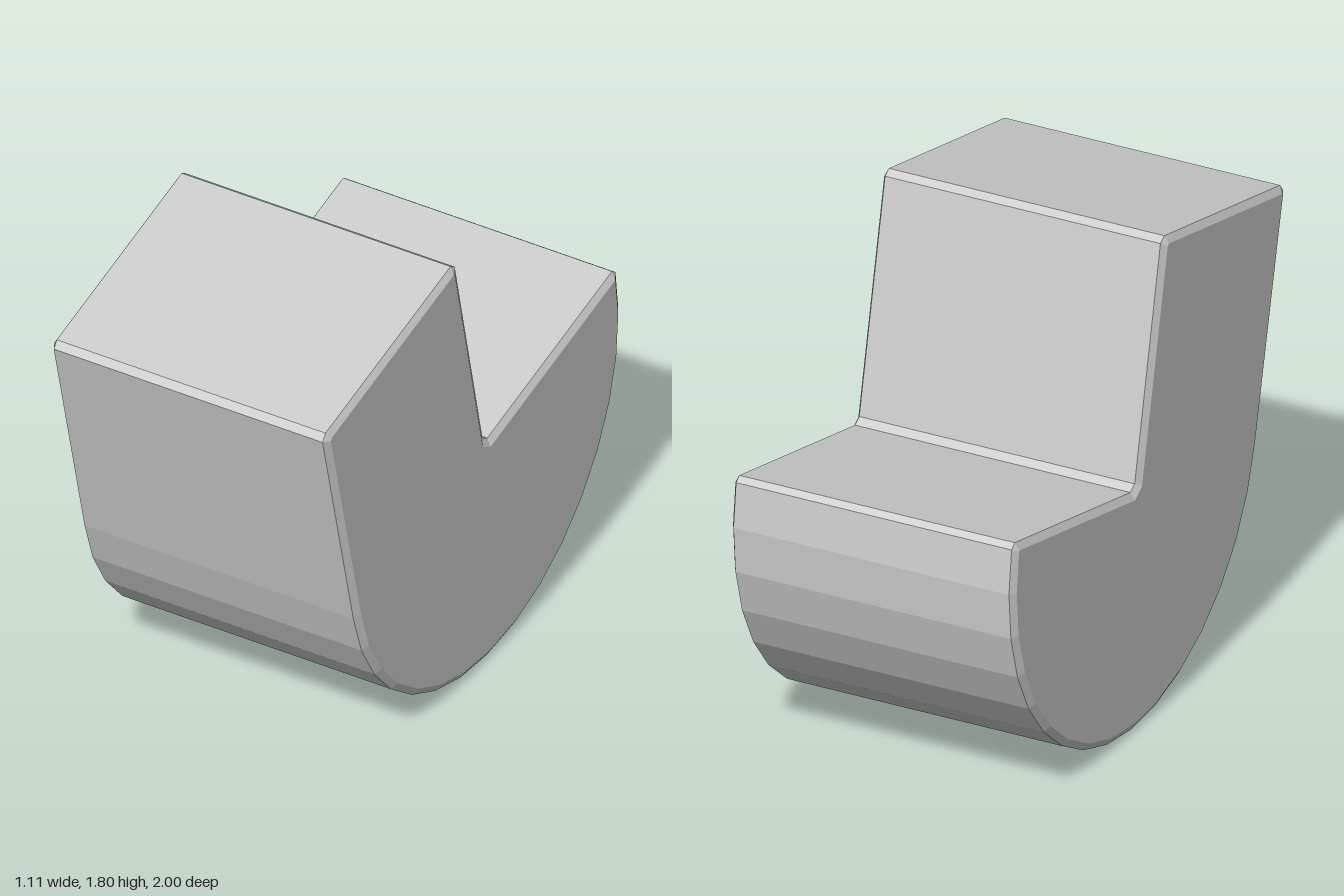
import * as THREE from 'three';

export function createModel() {
  const group = new THREE.Group();
  const bevel = 0.027, bevelDepth = 0.016, width = 1.11;

  // Side profile as (z, y): faceted half-round base, tilted, with a tall block at the front
  const centre = { z: -0.092, y: 0.907 }, radius = 0.905;
  const tilt = THREE.MathUtils.degToRad(12.3);
  const points = [];
  const add = (z, y) => points.push(new THREE.Vector2(z, y));

  // Chamfered notch and upper block, counter-clockwise
  add(-0.955, 1.108);
  add(-0.978, 1.09);
  // Half-round underside, 16 facets per half turn
  for (let i = 15; i >= 0; i--) {
    const a = -tilt - (i * Math.PI) / 16;
    add(centre.z + radius * Math.cos(a), centre.y + radius * Math.sin(a));
  }
  add(1.0, 1.593);
  add(0.98, 1.62);
  add(0.136, 1.805);
  add(0.108, 1.787);
  add(-0.08, 0.941);
  add(-0.112, 0.922);

  // Extrude across the width with a small chamfer around both sides
  const geometry = new THREE.ExtrudeGeometry(new THREE.Shape(points), {
    depth: width - 2 * bevelDepth,
    bevelEnabled: true,
    bevelSegments: 1,
    bevelSize: bevel,
    bevelThickness: bevelDepth,
    bevelOffset: -bevel,
  });
  geometry.translate(0, 0, -(width / 2 - bevelDepth));
  geometry.rotateY(-Math.PI / 2);

  const body = new THREE.Mesh(
    geometry,
    new THREE.MeshStandardMaterial({ color: 0xcccccc, flatShading: true })
  );
  body.name = 'roundBottomedBody';
  group.add(body);
  return group;
}
